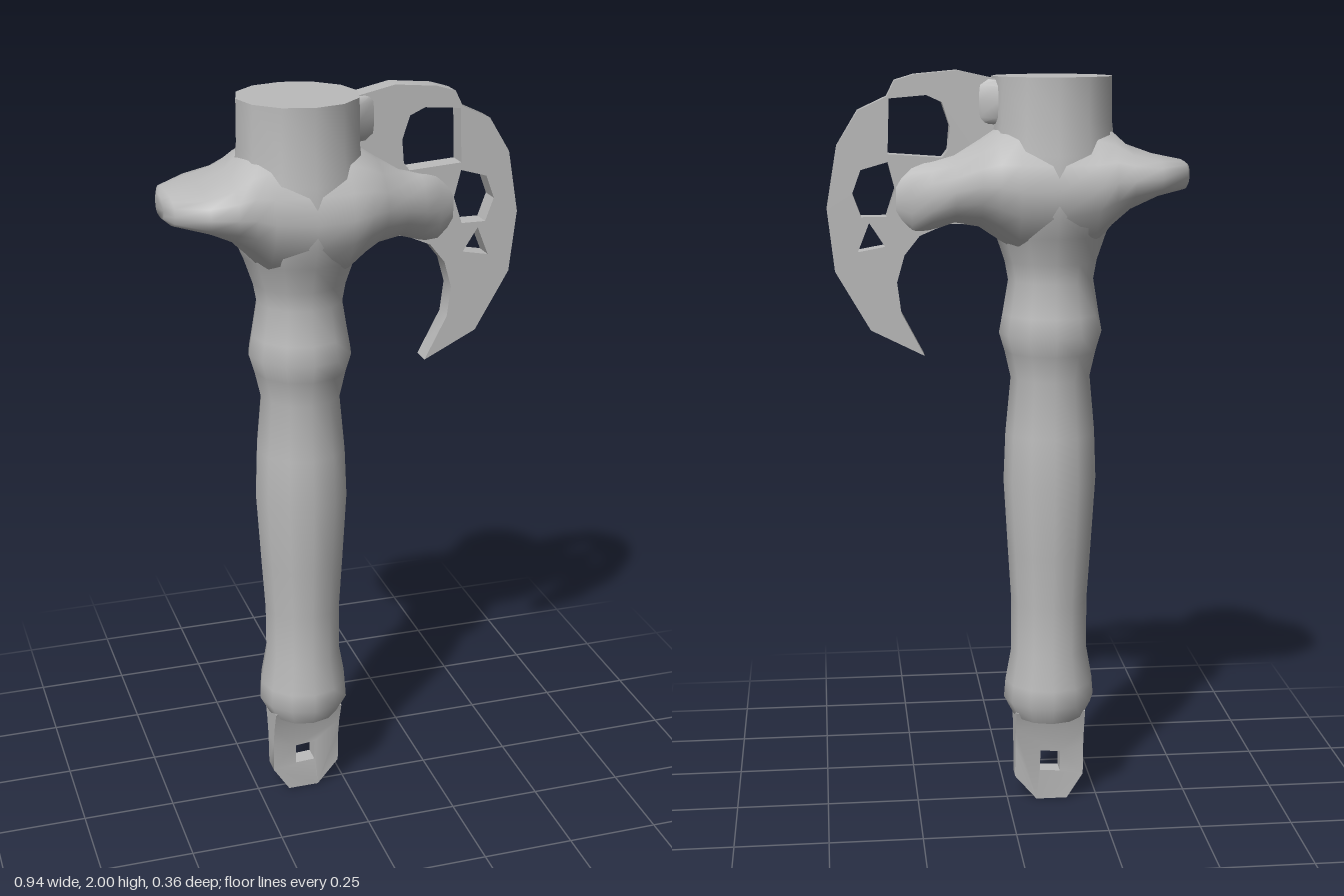
import * as THREE from 'three';
import { toCreasedNormals } from 'three/addons/utils/BufferGeometryUtils.js';

const AXIS_X = -0.115; // centre line of the handle
const vectors = (list) => list.map(([x, y]) => new THREE.Vector2(x, y));

// Flat plate in the xy plane with holes, centred on z = 0
function plate(outline, holes, halfDepth) {
  const shape = new THREE.Shape(vectors(outline));
  holes.forEach((hole) => shape.holes.push(new THREE.Path(vectors(hole))));
  const geometry = new THREE.ExtrudeGeometry(shape, { depth: 2 * halfDepth, bevelEnabled: false });
  geometry.translate(0, 0, -halfDepth);
  return geometry;
}

// Loft along x through rounded sections [x, half width, bottom, top, roundness]
function loftX(sections, sides) {
  const positions = [];
  const index = [];
  const power = (v, p) => Math.sign(v) * Math.abs(v) ** p;
  for (const [x, halfZ, y0, y1, p] of sections) {
    for (let j = 0; j < sides; j++) {
      const a = (j / sides) * Math.PI * 2;
      positions.push(x, (y0 + y1) / 2 + ((y1 - y0) / 2) * power(Math.sin(a), p), halfZ * power(Math.cos(a), p));
    }
  }
  const last = sections.length - 1;
  for (let i = 0; i < last; i++) {
    for (let j = 0; j < sides; j++) {
      const k = (j + 1) % sides;
      const [a, b, c, d] = [i * sides + j, (i + 1) * sides + j, (i + 1) * sides + k, i * sides + k];
      index.push(a, b, c, a, c, d);
    }
  }
  for (let j = 1; j < sides - 1; j++) {
    index.push(0, j, j + 1);
    index.push(last * sides, last * sides + j + 1, last * sides + j);
  }
  const geometry = new THREE.BufferGeometry();
  geometry.setAttribute('position', new THREE.Float32BufferAttribute(positions, 3));
  geometry.setIndex(index);
  return geometry;
}

export function createModel() {
  const model = new THREE.Group();
  const grey = new THREE.MeshStandardMaterial({ color: 0xbbbbbb });
  grey.name = 'plain grey';

  const add = (name, geometry, crease = 0.9) => {
    const mesh = new THREE.Mesh(toCreasedNormals(geometry, crease), grey);
    mesh.name = name;
    model.add(mesh);
    return mesh;
  };

  // Handle with pommel, swelling grip, collar ring and flat-topped head
  const profile = [
    [0, 0.245], [0.098, 0.25], [0.124, 0.3], [0.12, 0.35], [0.104, 0.44], [0.104, 0.58],
    [0.113, 0.72], [0.125, 0.92], [0.12, 1.05], [0.106, 1.2], [0.122, 1.27], [0.137, 1.32],
    [0.128, 1.37], [0.113, 1.46], [0.122, 1.51], [0.146, 1.58], [0.172, 1.64], [0.177, 1.7],
    [0.168, 1.79], [0.158, 1.87], [0.157, 1.985], [0, 1.985],
  ];
  const handle = add('handle', new THREE.LatheGeometry(vectors(profile), 12));
  handle.position.x = AXIS_X;

  // Crossguard: broad thin wing on one side, tapering arm on the other
  add('crossguard', loftX([
    [-0.47, 0.05, 1.705, 1.76, 0.7],
    [-0.455, 0.11, 1.695, 1.77, 0.7],
    [-0.38, 0.174, 1.68, 1.785, 0.7],
    [-0.31, 0.178, 1.645, 1.81, 0.8],
    [-0.265, 0.178, 1.6, 1.85, 0.95],
    [-0.22, 0.178, 1.54, 1.88, 1.1],
    [AXIS_X, 0.182, 1.5, 1.9, 1.15],
    [-0.02, 0.182, 1.52, 1.89, 1.1],
    [0.03, 0.174, 1.57, 1.86, 1],
    [0.075, 0.155, 1.6, 1.83, 1],
    [0.14, 0.12, 1.61, 1.79, 1],
    [0.2, 0.085, 1.59, 1.775, 1],
    [0.25, 0.053, 1.58, 1.77, 1],
    [0.29, 0.032, 1.61, 1.74, 1],
  ], 16), 1);

  // Pierced crescent blade
  add('crescentBlade', plate(
    [
      [-0.05, 1.6], [0.1, 1.61], [0.16, 1.61], [0.23, 1.58], [0.27, 1.53], [0.29, 1.46], [0.28, 1.38],
      [0.22, 1.265], [0.36, 1.335], [0.45, 1.49], [0.468, 1.65], [0.44, 1.81], [0.385, 1.9],
      [0.31, 1.935], [0.29, 1.975], [0.24, 1.99], [0.13, 2], [0.04, 1.98], [-0.05, 1.98],
    ],
    [
      [[0.15, 1.86], [0.17, 1.92], [0.21, 1.938], [0.305, 1.93], [0.31, 1.79], [0.17, 1.78], [0.155, 1.8]],
      [[0.31, 1.77], [0.38, 1.75], [0.402, 1.69], [0.38, 1.63], [0.315, 1.63], [0.292, 1.7]],
      [[0.36, 1.615], [0.39, 1.54], [0.32, 1.553]],
    ],
    0.028,
  ), 0.7);

  // Fillet where the blade's top edge flows out of the head
  add('bladeRoot', loftX([
    [-0.04, 0.11, 1.88, 1.98, 0.6],
    [0.03, 0.055, 1.86, 1.98, 0.6],
    [0.075, 0.029, 1.86, 1.985, 0.6],
  ], 12));

  // Pierced lanyard tab that thickens towards the pommel
  const tab = plate(
    [
      [-0.165, 0], [-0.08, 0], [-0.02, 0.07], [-0.02, 0.16], [-0.02, 0.21], [-0.02, 0.27],
      [-0.21, 0.27], [-0.21, 0.21], [-0.21, 0.16], [-0.21, 0.07],
    ],
    [[[-0.145, 0.082], [-0.145, 0.14], [-0.09, 0.145], [-0.09, 0.085]]],
    1,
  );
  const pos = tab.attributes.position;
  for (let i = 0; i < pos.count; i++) {
    const t = Math.max(0, (pos.getY(i) - 0.1) / 0.17);
    pos.setZ(i, pos.getZ(i) * (0.024 + 0.036 * t * t));
  }
  add('lanyardTab', tab, 0.7);

  return model;
}
